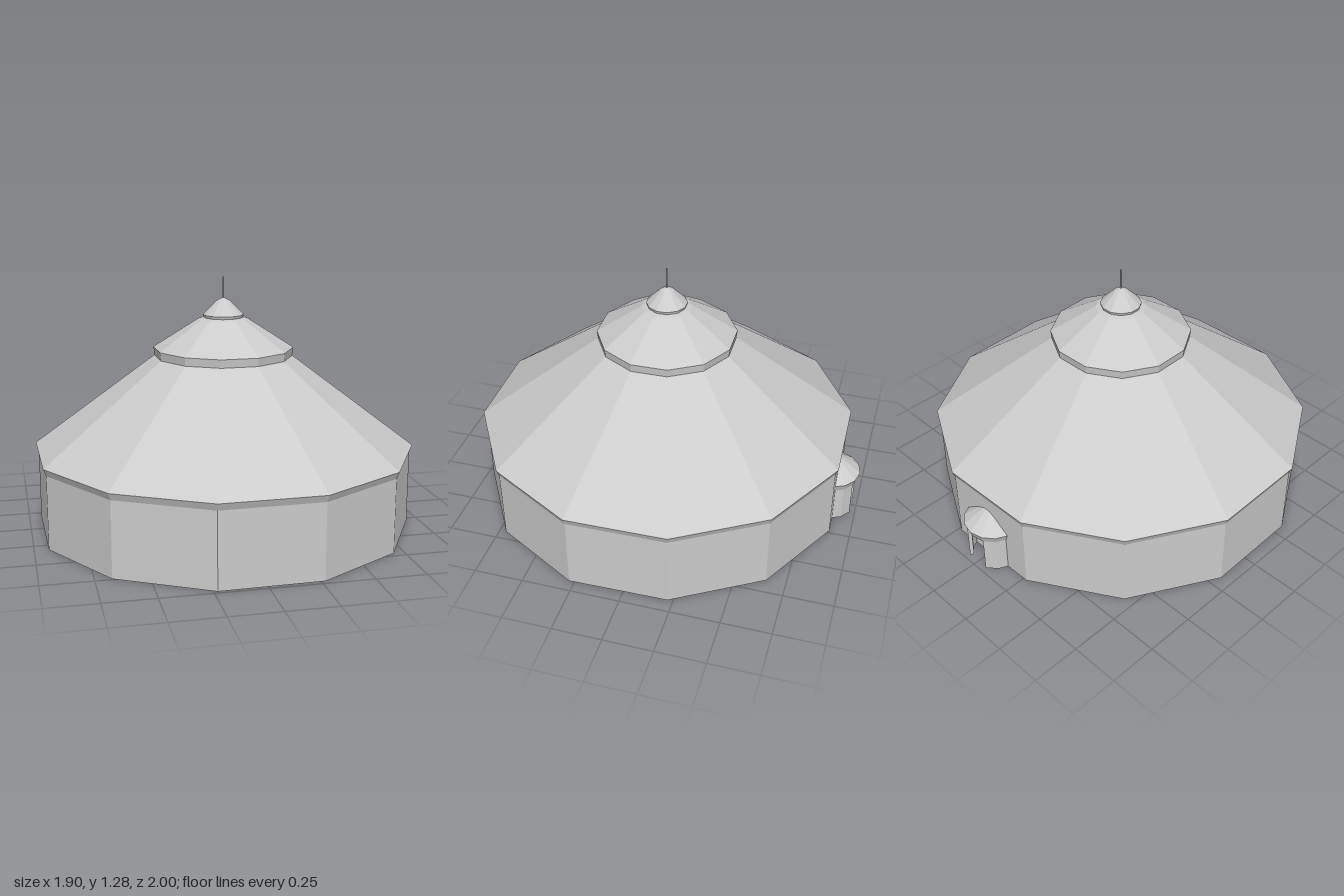
import * as THREE from 'three';

const material = new THREE.MeshStandardMaterial({
  color: 0xcccccc, flatShading: true, side: THREE.DoubleSide,
});
const { degToRad } = THREE.MathUtils;

// Faceted solid or shell of revolution from [radius, height] pairs
function faceted(name, profile, sides = 12, turn = 16.1) {
  const points = profile.map(([r, y]) => new THREE.Vector2(r, y));
  const mesh = new THREE.Mesh(new THREE.LatheGeometry(points, sides, degToRad(turn)), material);
  mesh.name = name;
  return mesh;
}

// Upright slab following a polygon arc; angles in degrees from the back (-z)
function curvedSlab(name, inner, outer, angles, height) {
  const corner = (r, a) => new THREE.Vector2(r * Math.sin(degToRad(a)), r * Math.cos(degToRad(a)));
  const shape = new THREE.Shape([
    ...angles.map((a) => corner(outer, a)),
    ...angles.map((a) => corner(inner, a)).reverse(),
  ]);
  const geometry = new THREE.ExtrudeGeometry(shape, { depth: height, bevelEnabled: false });
  geometry.rotateX(-Math.PI / 2);
  const mesh = new THREE.Mesh(geometry, material);
  mesh.name = name;
  return mesh;
}

export function createModel() {
  const model = new THREE.Group();
  model.name = 'roundTent';

  const tent = new THREE.Group();
  tent.name = 'tent';
  tent.position.z = 0.045;
  model.add(tent);

  // Thin wall with a flat hem turned inwards at the ground
  tent.add(faceted('wall', [[0.9, 0], [0.967, 0], [0.967, 0.375]]));

  // Main roof: slanted eave, slope and short collar
  tent.add(faceted('mainRoof', [[0.967, 0.375], [0.981, 0.41], [0.352, 0.88], [0.357, 0.922]]));

  // Upper roof, ending under the crown
  tent.add(faceted('upperRoof', [[0.357, 0.922], [0.125, 1.07], [0.1, 1.076]]));

  // Crown cap and pole
  tent.add(faceted('crownCap', [[0.1, 1.076], [0.104, 1.09], [0.035, 1.16], [0.012, 1.172], [0, 1.175]]));
  const pole = new THREE.Mesh(new THREE.CylinderGeometry(0.004, 0.004, 0.12, 8), material);
  pole.position.y = 1.22;
  pole.name = 'pole';
  tent.add(pole);

  // Small rounded porch at the back, its doorway between two curved side walls
  const porch = new THREE.Group();
  porch.name = 'porch';
  porch.position.z = -0.845;
  model.add(porch);
  const sides = 14;
  const step = 360 / sides;
  porch.add(faceted('porchRoof', [[0, 0.2], [0.122, 0.2], [0.142, 0.188], [0.155, 0.225], [0, 0.338]], sides, 0));
  const angles = [step, 2 * step, 3 * step];
  porch.add(curvedSlab('leftPorchWall', 0.122, 0.142, angles, 0.2));
  porch.add(curvedSlab('rightPorchWall', 0.122, 0.142, angles.map((a) => -a), 0.2));
  return model;
}
